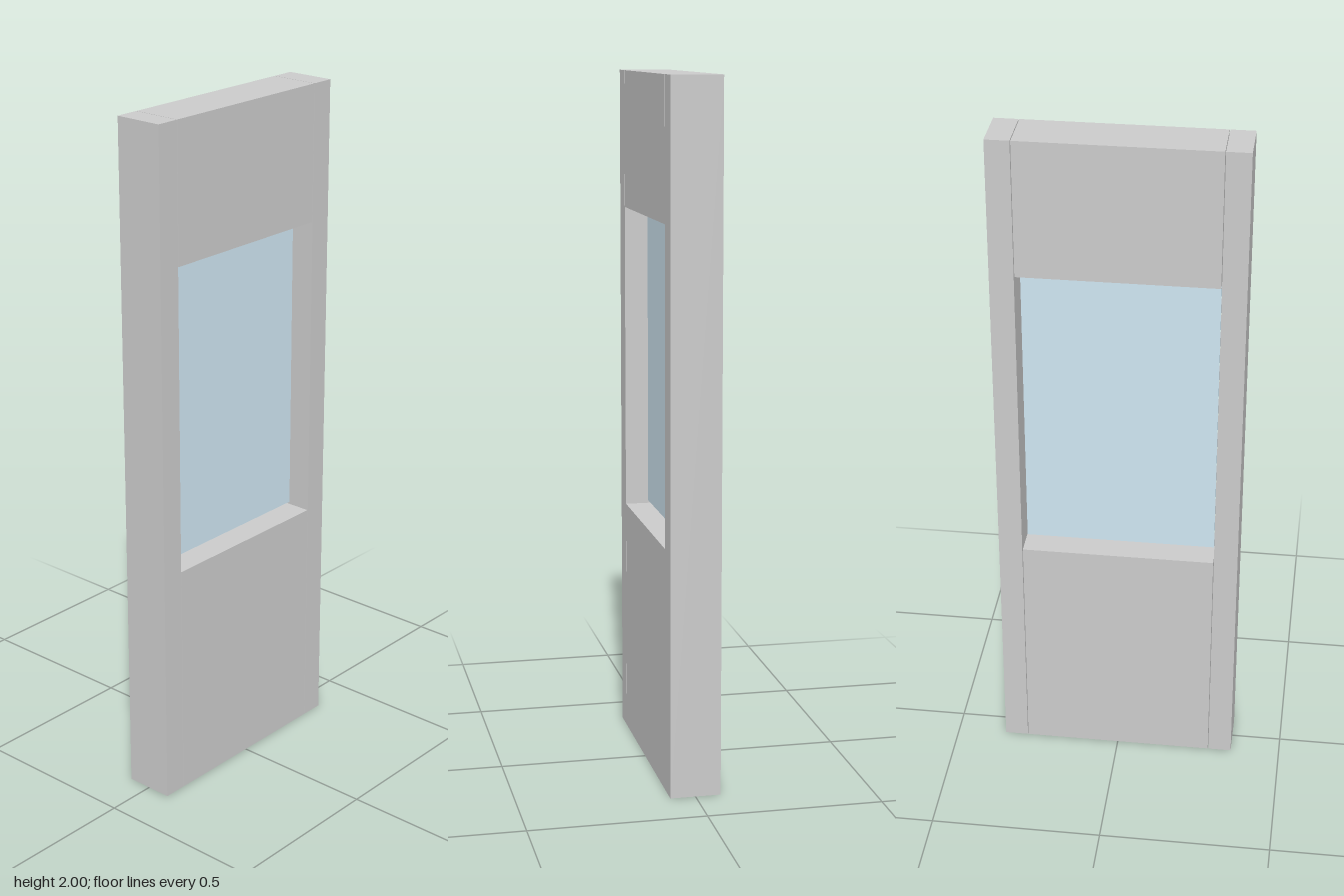
import * as THREE from 'three';

const DEPTH = 0.145;
const HALF_WIDTH = 0.352;
const POST_WIDTH = 0.069;
const PANEL_WIDTH = 0.562;

export function createModel() {
  const group = new THREE.Group();
  const frame = new THREE.MeshStandardMaterial({ color: 0xcccccc });
  const glass = new THREE.MeshStandardMaterial({ color: 0xcfe6f2 });

  // Upright box spanning y0 to y1
  const addBox = (name, width, y0, y1, depth, x, material) => {
    const mesh = new THREE.Mesh(new THREE.BoxGeometry(width, y1 - y0, depth), material);
    mesh.position.set(x, (y0 + y1) / 2, 0);
    mesh.name = name;
    group.add(mesh);
  };

  // Full-height side posts
  for (const [name, side] of [['leftPost', 1], ['rightPost', -1]]) {
    addBox(name, POST_WIDTH, 0, 2, DEPTH, side * (HALF_WIDTH - POST_WIDTH / 2), frame);
  }

  // Solid panels below and above the window, flush with the posts
  addBox('lowerPanel', PANEL_WIDTH, 0, 0.703, DEPTH, 0, frame);
  addBox('upperPanel', PANEL_WIDTH, 1.602, 2, DEPTH, 0, frame);

  // Thin pane in the middle of the depth, with a narrow gap all round
  addBox('windowPane', 0.555, 0.712, 1.594, 0.01, 0, glass);

  return group;
}
